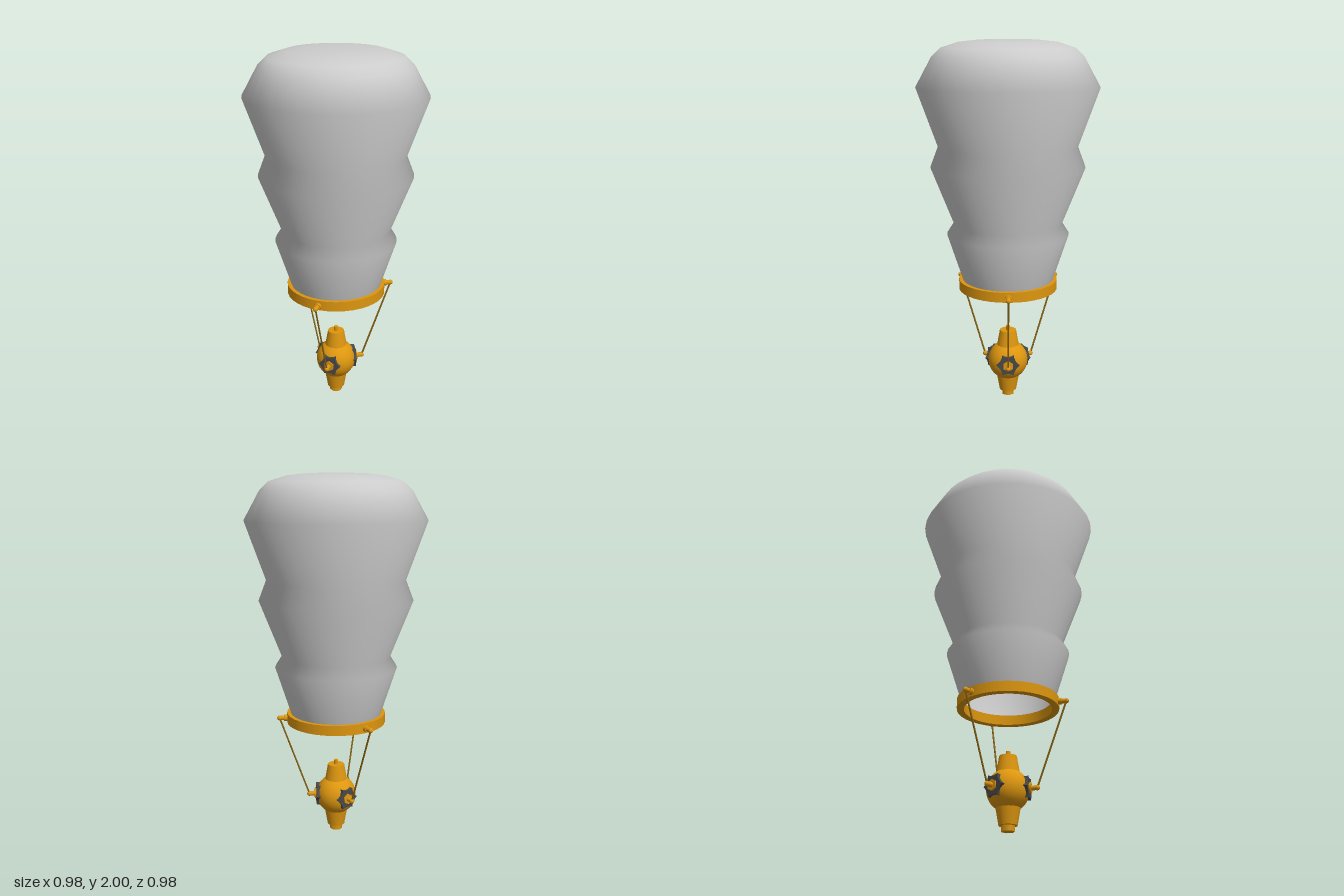
import * as THREE from 'three';

const gold = new THREE.MeshStandardMaterial({ color: 0xdd960f });
const cord = new THREE.MeshStandardMaterial({ color: 0x8a6414 });
const dark = new THREE.MeshStandardMaterial({ color: 0x484848 });
const fabric = new THREE.MeshStandardMaterial({ color: 0xcccccc, side: THREE.DoubleSide });

const vec = (points) => points.map(([x, y]) => new THREE.Vector2(x, y));

function add(parent, name, geometry, material, x = 0, y = 0, z = 0) {
  const mesh = new THREE.Mesh(geometry, material);
  mesh.name = name;
  mesh.position.set(x, y, z);
  parent.add(mesh);
  return mesh;
}

// Cylinder lying along z, from z0 to z1
function peg(parent, name, radius, y, z0, z1, sides = 12) {
  const g = new THREE.CylinderGeometry(radius, radius, z1 - z0, sides).rotateX(Math.PI / 2);
  return add(parent, name, g, gold, 0, y, (z0 + z1) / 2);
}

// Six-pointed collar with concave edges
function collarGeometry() {
  const shape = new THREE.Shape();
  const R = 0.064, dip = 0.042;
  for (let i = 0; i <= 6; i++) {
    const a = (i * Math.PI) / 3, m = a - Math.PI / 6;
    if (i === 0) shape.moveTo(R, 0);
    else shape.quadraticCurveTo(dip * Math.cos(m), dip * Math.sin(m), R * Math.cos(a), R * Math.sin(a));
  }
  return new THREE.ExtrudeGeometry(shape, { depth: 0.035, bevelEnabled: false, curveSegments: 5 });
}

// One suspension arm, built towards +z
function arm(angle) {
  const g = new THREE.Group();
  g.name = 'suspensionArm';
  const top = new THREE.Vector3(0, 0.67, 0.315);
  const bottom = new THREE.Vector3(0, 0.215, 0.152);

  peg(g, 'ringPin', 0.013, top.y, 0.255, top.z);
  peg(g, 'ringPinCollar', 0.018, top.y, 0.268, 0.29);
  add(g, 'upperBall', new THREE.SphereGeometry(0.014, 12, 8), gold, ...top.toArray());

  add(g, 'starCollar', collarGeometry(), dark, 0, bottom.y, 0.078);
  peg(g, 'bodyBoss', 0.03, bottom.y, 0.09, 0.122, 6);
  peg(g, 'bodyPin', 0.013, bottom.y, 0.11, bottom.z);
  add(g, 'lowerBall', new THREE.SphereGeometry(0.014, 12, 8), gold, ...bottom.toArray());

  const line = new THREE.LineCurve3(bottom, top);
  add(g, 'line', new THREE.TubeGeometry(line, 1, 0.005, 6), cord);
  g.rotation.y = angle;
  return g;
}

export function createModel() {
  const model = new THREE.Group();
  model.name = 'parachuteProbe';

  // Three-tiered canopy, open at the bottom
  add(model, 'canopy', new THREE.LatheGeometry(vec([
    [0.245, 0.68], [0.335, 0.96], [0.297, 1.02], [0.418, 1.33], [0.376, 1.44],
    [0.488, 1.755], [0.402, 1.91], [0.355, 1.955], [0.26, 1.985], [0.15, 1.997], [0, 2],
  ]), 36), fabric);

  // Mouth ring with square section; each face has its own edge normals
  const ring = new THREE.Group();
  ring.name = 'mouthRing';
  const corners = [[0.235, 0.645], [0.273, 0.645], [0.273, 0.7], [0.235, 0.7]];
  corners.forEach((c, i) =>
    add(ring, 'ringFace', new THREE.LatheGeometry(vec([c, corners[(i + 1) % 4]]), 36), gold));
  model.add(ring);

  // Hanging body
  const body = new THREE.Group();
  body.name = 'body';
  add(body, 'sphere', new THREE.SphereGeometry(0.112, 32, 20), gold, 0, 0.21, 0);
  add(body, 'upperNeck', new THREE.CylinderGeometry(0.046, 0.062, 0.09, 24), gold, 0, 0.345, 0);
  add(body, 'topNub', new THREE.CylinderGeometry(0.012, 0.012, 0.03, 12), gold, 0, 0.4, 0);
  add(body, 'lowerNeck', new THREE.CylinderGeometry(0.064, 0.048, 0.09, 24), gold, 0, 0.075, 0);
  add(body, 'baseNut', new THREE.CylinderGeometry(0.036, 0.036, 0.035, 6), gold, 0, 0.0175, 0);
  model.add(body);

  for (const a of [-Math.PI / 3, Math.PI / 3, Math.PI]) model.add(arm(a));
  return model;
}
